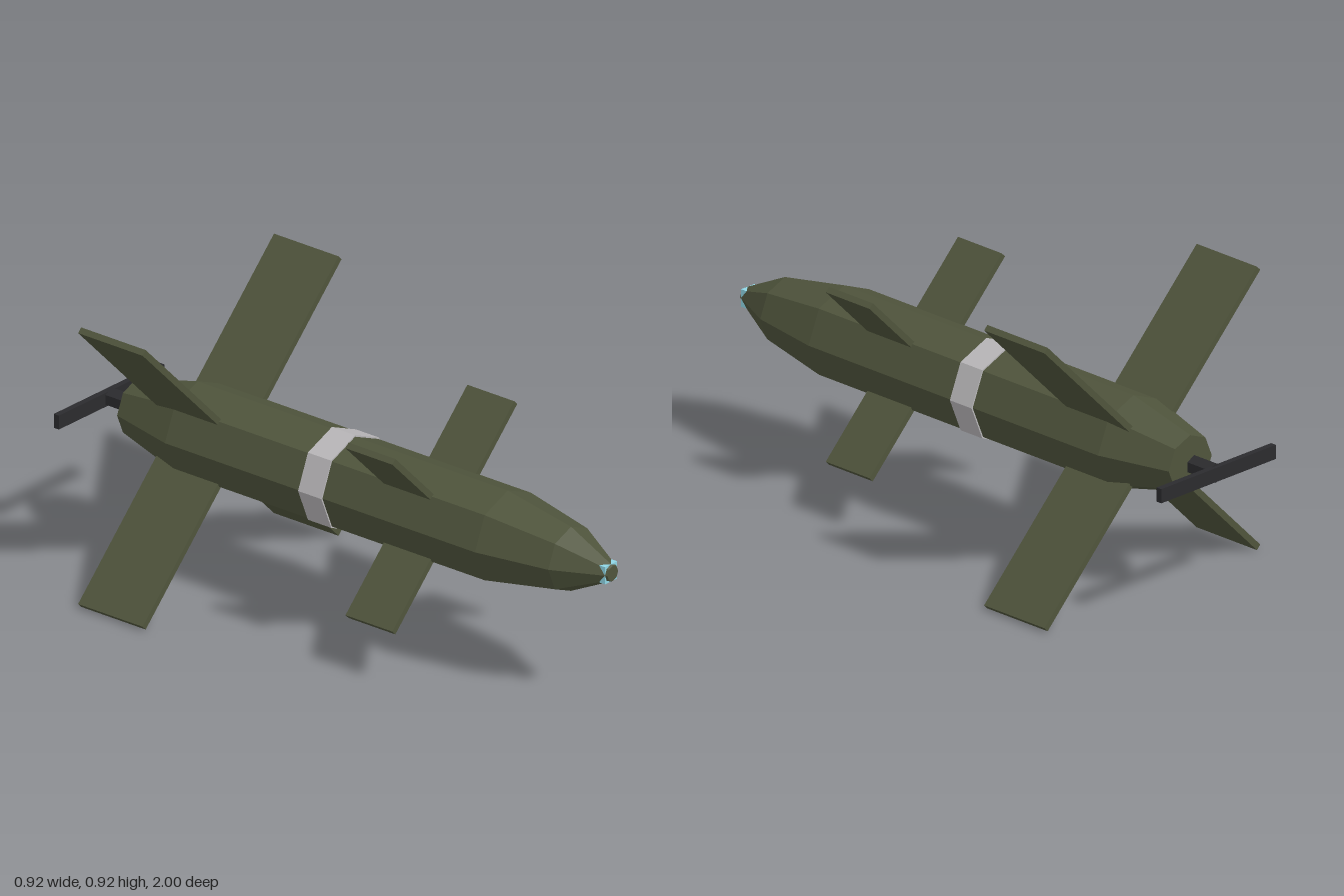
import * as THREE from 'three';

const CY = 0.4615; // height of the body axis

function material(color) {
  return new THREE.MeshStandardMaterial({ color, flatShading: true });
}

export function createModel() {
  const model = new THREE.Group();
  model.name = 'winged drone';
  const olive = material(0x4f543c);
  const dark = material(0x2b2b2e);
  const silver = material(0xb8b6b8);
  const lens = material(0x8fd6e6);

  function add(name, geometry, mat, x, y, z) {
    const mesh = new THREE.Mesh(geometry, mat);
    mesh.name = name;
    mesh.position.set(x, y, z);
    model.add(mesh);
    return mesh;
  }

  // Eight-sided fuselage, [radius, z] from tail to nose
  const profile = [
    [0, -0.88], [0.092, -0.88], [0.152, -0.64], [0.152, 0.585],
    [0.106, 0.835], [0.025, 1], [0, 1],
  ].map(([r, z]) => new THREE.Vector2(r, z));
  add('fuselage', new THREE.LatheGeometry(profile, 8).rotateX(Math.PI / 2), olive, 0, CY, 0);

  // Band around the middle
  add('band', new THREE.CylinderGeometry(0.157, 0.157, 0.092, 8).rotateX(Math.PI / 2), silver, 0, CY, -0.064);

  // Square sensor set into the nose tip
  add('noseSensor', new THREE.BoxGeometry(0.057, 0.057, 0.022), lens, 0, CY, 0.982);

  // Two sets of four wings in an X: [name, length, chord, z centre]
  const wingSets = [['frontWing', 0.4, 0.185, 0.283], ['rearWing', 0.643, 0.255, -0.592]];
  for (const [name, length, chord, z] of wingSets) {
    for (let i = 0; i < 4; i++) {
      const geometry = new THREE.BoxGeometry(length - 0.08, 0.02, chord);
      geometry.translate((length + 0.08) / 2, 0, 0);
      add(name, geometry, olive, 0, CY, z).rotation.z = Math.PI / 4 + i * Math.PI / 2;
    }
  }

  // Pusher propeller on a six-sided shaft
  add('propellerShaft', new THREE.CylinderGeometry(0.032, 0.032, 0.092, 6).rotateX(Math.PI / 2), dark, 0, CY, -0.942);
  add('propellerBlade', new THREE.BoxGeometry(0.49, 0.046, 0.02), dark, 0, CY, -0.99);

  return model;
}
